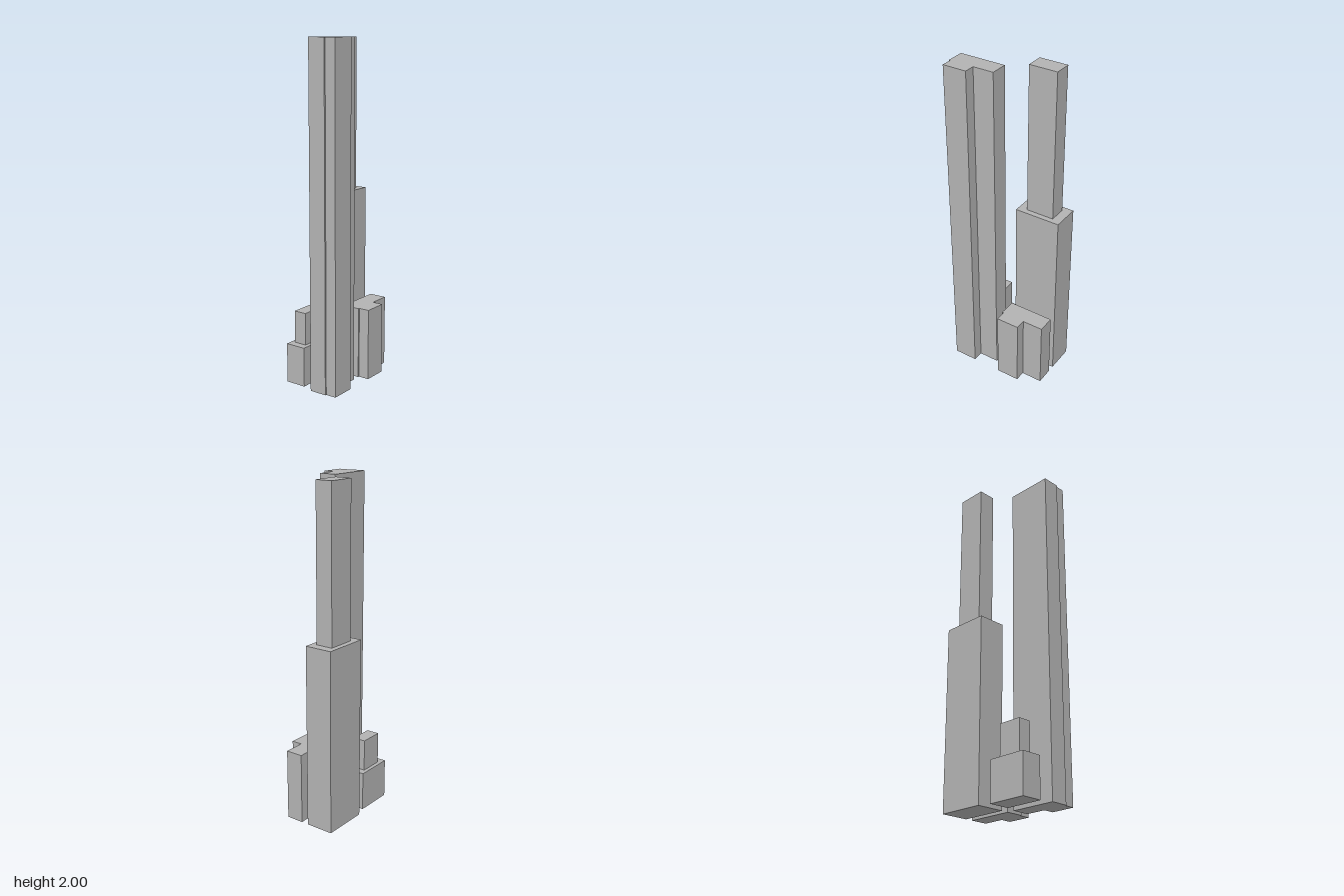
import * as THREE from 'three';

export function createModel() {
  const group = new THREE.Group();
  const grey = new THREE.MeshStandardMaterial({ color: 0xb2b2b2 });
  grey.name = 'concrete grey';

  // box block spanning the given ranges
  function block(parent, name, [x0, x1], [y0, y1], [z0, z1]) {
    const mesh = new THREE.Mesh(new THREE.BoxGeometry(x1 - x0, y1 - y0, z1 - z0), grey);
    mesh.position.set((x0 + x1) / 2, (y0 + y1) / 2, (z0 + z1) / 2);
    mesh.name = name;
    parent.add(mesh);
  }

  // broad base with a narrower shaft on its roof
  function steppedTower(name, baseX, baseZ, shaftX, shaftZ, setback, height) {
    const tower = new THREE.Group();
    tower.name = name;
    block(tower, 'base', baseX, [0, setback], baseZ);
    block(tower, 'shaft', shaftX, [setback, height], shaftZ);
    group.add(tower);
  }

  // slab with a projecting front wing, extruded from its floor plan
  function wingedTower(name, [x0, x1], [w0, w1], [back, step, front], height) {
    const plan = new THREE.Shape([
      [x0, back], [x1, back], [x1, step], [w1, step],
      [w1, front], [w0, front], [w0, step], [x0, step],
    ].map(([x, z]) => new THREE.Vector2(x, -z)));
    const geometry = new THREE.ExtrudeGeometry(plan, { depth: height, bevelEnabled: false });
    geometry.rotateX(-Math.PI / 2);
    const mesh = new THREE.Mesh(geometry, grey);
    mesh.name = name;
    group.add(mesh);
  }

  const depths = [0.021, 0.127, 0.192];
  wingedTower('tallWingedTower', [-0.302, -0.023], [-0.293, -0.148], depths, 2);
  wingedTower('lowWingedBlock', [0.021, 0.302], [0.03, 0.174], depths, 0.43);
  steppedTower('tallSteppedTower', [0.021, 0.302], [-0.194, -0.023],
    [0.075, 0.247], [-0.161, -0.056], 1.1, 2);
  steppedTower('lowSteppedBlock', [-0.28, -0.044], [-0.172, -0.045],
    [-0.234, -0.089], [-0.149, -0.07], 0.237, 0.43);

  return group;
}
